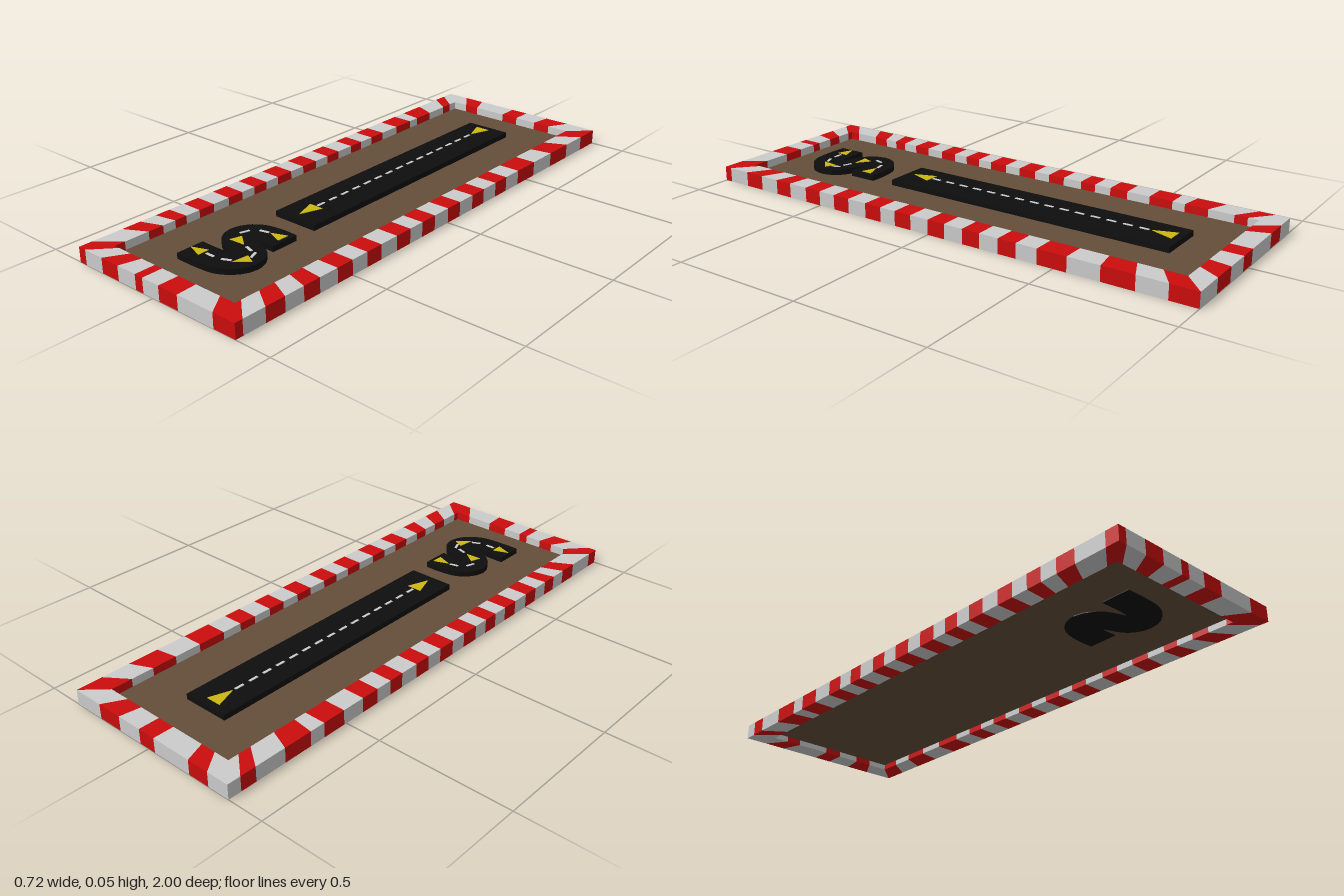
import * as THREE from 'three';
import { mergeGeometries } from 'three/addons/utils/BufferGeometryUtils.js';

const paint = (name, color) => new THREE.MeshStandardMaterial({ name, color });

export function createModel() {
  const model = new THREE.Group();
  model.name = 'trackBoard';
  const red = paint('kerbRed', 0xcc0c0c);
  const white = paint('kerbWhite', 0xcccccc);
  const brown = paint('earthBrown', 0x634e3a);
  const black = paint('asphaltBlack', 0x0e0e0e);
  black.side = THREE.DoubleSide;
  const yellow = paint('arrowYellow', 0xccb710);

  const add = (name, geometry, material, parent = model) => {
    const mesh = new THREE.Mesh(geometry, material);
    mesh.name = name;
    parent.add(mesh);
    return mesh;
  };
  // Upright slab from an outline of [x, z] corners
  const slab = (points, top, height) => {
    const shape = new THREE.Shape(points.map(([x, z]) => new THREE.Vector2(x, z)));
    return new THREE.ExtrudeGeometry(shape, { depth: height, bevelEnabled: false })
      .rotateX(Math.PI / 2).translate(0, top, 0);
  };

  const HX = 0.362, HZ = 1, IX = 0.28, IZ = 0.922, KERB = 0.055;
  const FLOOR = 0.025, ROAD = 0.046;

  // Floor plate, raised inside the open frame
  add('floor', slab([[-IX, -IZ], [IX, -IZ], [IX, IZ], [-IX, IZ]], FLOOR, 0.004), brown);

  // Kerb frame: mitred sides whose stripes fan out toward the corners
  const kerb = (name, outer, inner, fan, reds, place) => {
    const group = new THREE.Group();
    group.name = name;
    const inside = t => {
      const a = Math.abs(t);
      return a < fan ? t : Math.sign(t) * (fan + (a - fan) * (inner - fan) / (outer - fan));
    };
    const cuts = [-outer, ...reds.flat(), outer];
    const pieces = [[], []];
    for (let i = 0; i < cuts.length - 1; i++) {
      const a = cuts[i], b = cuts[i + 1];
      if (b - a < 0.001) continue;
      pieces[i % 2].push(slab([place(a, true), place(b, true),
        place(inside(b), false), place(inside(a), false)], KERB, KERB));
    }
    add(name + 'White', mergeGeometries(pieces[0]), white, group);
    add(name + 'Red', mergeGeometries(pieces[1]), red, group);
    model.add(group);
  };
  kerb('leftKerb', HZ, IZ, 0.6, [[-1, -0.9], [-0.79, -0.67], [-0.55, -0.44], [-0.36, -0.29],
    [-0.215, -0.145], [-0.07, 0], [0.075, 0.145], [0.21, 0.28], [0.36, 0.43], [0.5, 0.57],
    [0.65, 0.72], [0.8, 0.88], [0.97, 1]], (t, out) => [out ? HX : IX, t]);
  kerb('rightKerb', HZ, IZ, 0.6, [[-0.95, -0.89], [-0.77, -0.66], [-0.6, -0.51], [-0.42, -0.35],
    [-0.285, -0.225], [-0.15, -0.085], [-0.02, 0.05], [0.115, 0.185], [0.245, 0.305],
    [0.365, 0.43], [0.5, 0.565], [0.63, 0.69], [0.755, 0.83], [0.95, 1]],
    (t, out) => [out ? -HX : -IX, t]);
  kerb('frontKerb', HX, IX, 0.1, [[-0.362, -0.33], [-0.245, -0.165], [-0.08, -0.045],
    [0.03, 0.115], [0.27, 0.362]], (t, out) => [t, out ? HZ : IZ]);
  kerb('backKerb', HX, IX, 0.1, [[-0.275, -0.19], [-0.03, 0.04], [0.14, 0.24]],
    (t, out) => [t, out ? -HZ : -IZ]);

  // Straight road
  add('straightRoad', slab([[-0.09, -0.77], [0.09, -0.77], [0.09, 0.385], [-0.09, 0.385]],
    ROAD, ROAD - FLOOR), black);

  // Winding road: a ribbon of rectangular cross-sections
  const path = new THREE.CatmullRomCurve3([[0.095, 0.53], [0.03, 0.53], [-0.03, 0.545],
    [-0.052, 0.585], [-0.03, 0.62], [0.03, 0.645], [0.08, 0.67], [0.088, 0.71],
    [0.05, 0.75], [-0.02, 0.76], [-0.105, 0.76]].map(([x, z]) => new THREE.Vector3(x, 0, z)));
  const half = 0.054, steps = 48, verts = [], index = [];
  for (let i = 0; i <= steps; i++) {
    const p = path.getPointAt(i / steps), d = path.getTangentAt(i / steps);
    for (const [s, y] of [[1, ROAD], [-1, ROAD], [-1, 0.018], [1, 0.018]])
      verts.push(new THREE.Vector3(p.x - d.z * s * half, y, p.z + d.x * s * half));
    if (i < steps) for (let k = 0; k < 4; k++) {
      const a = i * 4 + k, b = i * 4 + (k + 1) % 4;
      index.push(a, a + 4, b, b, a + 4, b + 4);
    }
  }
  const e = steps * 4;
  index.push(0, 1, 2, 0, 2, 3, e, e + 2, e + 1, e, e + 3, e + 2);
  const ribbon = new THREE.BufferGeometry().setFromPoints(verts);
  ribbon.setIndex(index);
  const bend = ribbon.toNonIndexed();
  bend.computeVertexNormals();
  add('windingRoad', bend, black);

  // Road markings: thin plates centred at x, z and pointing along (dx, dz)
  const mark = (x, z, dx, dz, points) => {
    const n = Math.hypot(dx, dz);
    return slab(points.map(([u, v]) =>
      [x + (dx * u - dz * v) / n, z + (dz * u + dx * v) / n]), ROAD + 0.002, 0.003);
  };
  const dash = (x, z, dx, dz, length = 0.036) => mark(x, z, dx, dz,
    [[-length / 2, -0.005], [length / 2, -0.005], [length / 2, 0.005], [-length / 2, 0.005]]);
  const arrow = (x, z, dx, dz, length, width) => mark(x, z, dx, dz,
    [[-length / 2, -width / 2], [length / 2, 0], [-length / 2, width / 2]]);

  const dashes = [];
  for (let z = -0.63; z < 0.27; z += 0.0625) dashes.push(dash(-0.008, z, 0, 1));
  dashes.push(dash(-0.003, 0.526, -1, 0.25), dash(-0.051, 0.57, -0.3, 1),
    dash(0.05, 0.647, 1, 0.3), dash(0.092, 0.668, 0.4, 1),
    dash(0.05, 0.745, -1, 0.45), dash(-0.013, 0.756, -1, 0));
  add('laneDashes', mergeGeometries(dashes), white);

  add('directionArrows', mergeGeometries([
    arrow(-0.008, -0.7, 0, 1, 0.085, 0.06), arrow(-0.008, 0.312, 0, 1, 0.085, 0.06),
    arrow(0.05, 0.522, -1, 0, 0.06, 0.045), arrow(-0.012, 0.628, 1, 0.3, 0.06, 0.045),
    arrow(0.088, 0.718, -0.5, 1, 0.06, 0.045), arrow(-0.072, 0.758, -1, 0, 0.06, 0.045),
  ]), yellow);

  return model;
}
